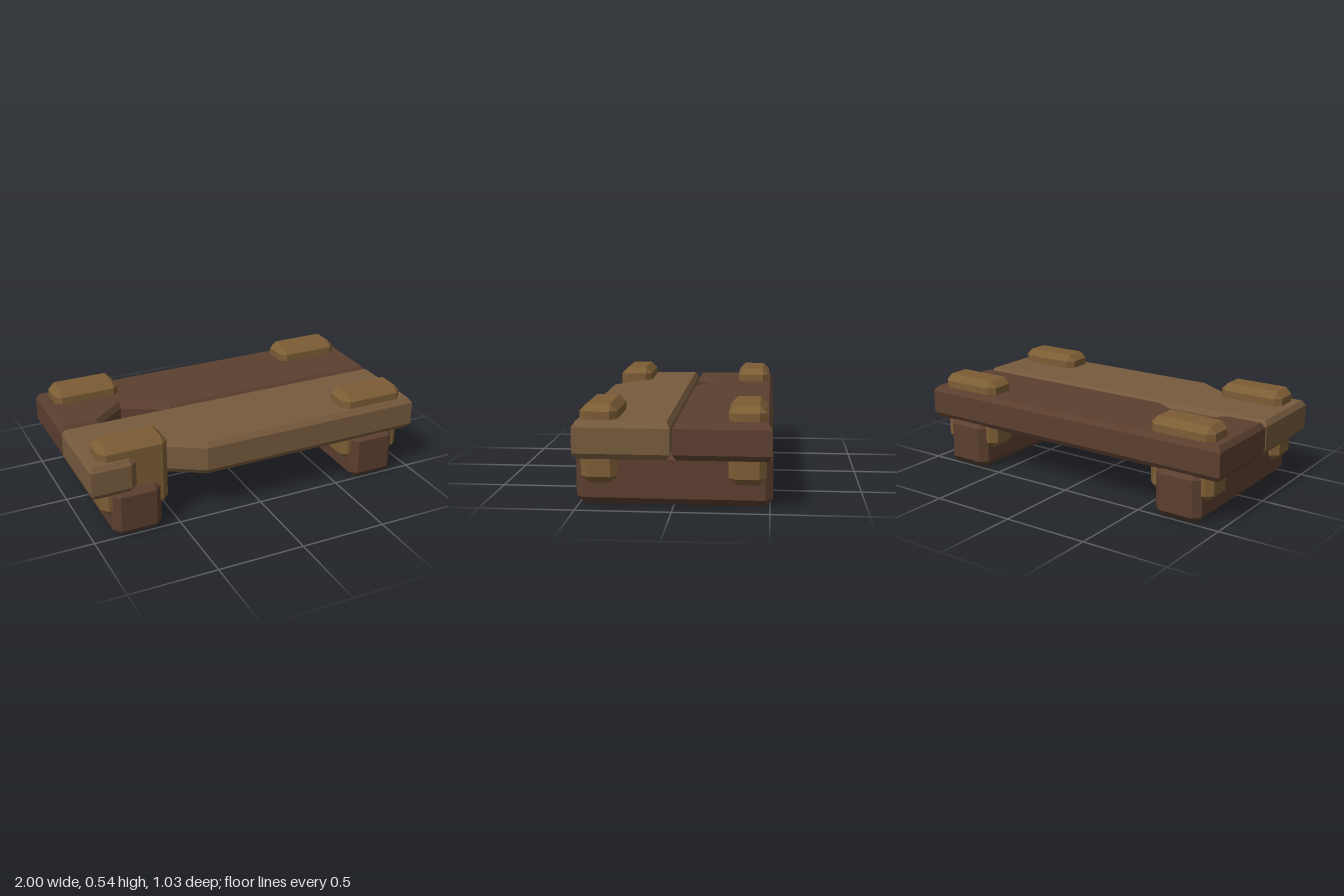
import * as THREE from 'three';
import { ConvexGeometry } from 'three/addons/geometries/ConvexGeometry.js';

const material = (color) => new THREE.MeshStandardMaterial({ color, flatShading: true });

// Box with every edge and corner cut off at 45 degrees
function chamferedBox(w, h, d, c) {
  const half = [w / 2, h / 2, d / 2];
  const points = [];
  for (const sx of [-1, 1]) for (const sy of [-1, 1]) for (const sz of [-1, 1]) {
    for (let axis = 0; axis < 3; axis++) {
      const p = half.map((v, i) => (i === axis ? v : v - c));
      points.push(new THREE.Vector3(p[0] * sx, p[1] * sy, p[2] * sz));
    }
  }
  return new ConvexGeometry(points);
}

// Plank outline (x, z) with a broken notch in its front edge, bevelled all round
function notchedPlank() {
  const outline = [
    [-1, -0.252], [0.995, -0.252], [0.995, 0.252],
    [-0.335, 0.252], [-0.59, 0.1], [-0.775, 0.252], [-1, 0.252],
  ];
  const shape = new THREE.Shape(outline.map(([x, z]) => new THREE.Vector2(x, z)));
  const geometry = new THREE.ExtrudeGeometry(shape, {
    depth: 0.135, bevelEnabled: true, bevelThickness: 0.03,
    bevelSize: 0.02, bevelOffset: -0.02, bevelSegments: 1,
  });
  geometry.rotateX(Math.PI / 2);
  return geometry;
}

export function createModel() {
  const model = new THREE.Group();
  model.name = 'woodenPlatform';
  const darkWood = material(0x5b3f2f);
  const lightWood = material(0x765a3d);
  const pegWood = material(0x7c5d35);

  const add = (name, geometry, mat, x, y, z) => {
    const mesh = new THREE.Mesh(geometry, mat);
    mesh.name = name;
    mesh.position.set(x, y, z);
    model.add(mesh);
  };

  // Two long planks side by side
  const plank = notchedPlank();
  add('frontPlank', plank, lightWood, 0, 0.43, 0.259);
  add('backPlank', plank, darkWood, 0, 0.43, -0.257);

  // Cross beams underneath, with pegs through planks and beams
  const beam = chamferedBox(0.285, 0.288, 1.03, 0.04);
  const peg = chamferedBox(0.39, 0.415, 0.195, 0.037);
  for (const [side, sign] of [['right', -1], ['left', 1]]) {
    add(side + 'Beam', beam, darkWood, sign * 0.742, 0.144, 0);
    add(side + 'FrontPeg', peg, pegWood, sign * 0.742, 0.332, 0.383);
    add(side + 'BackPeg', peg, pegWood, sign * 0.742, 0.332, -0.383);
  }
  return model;
}
